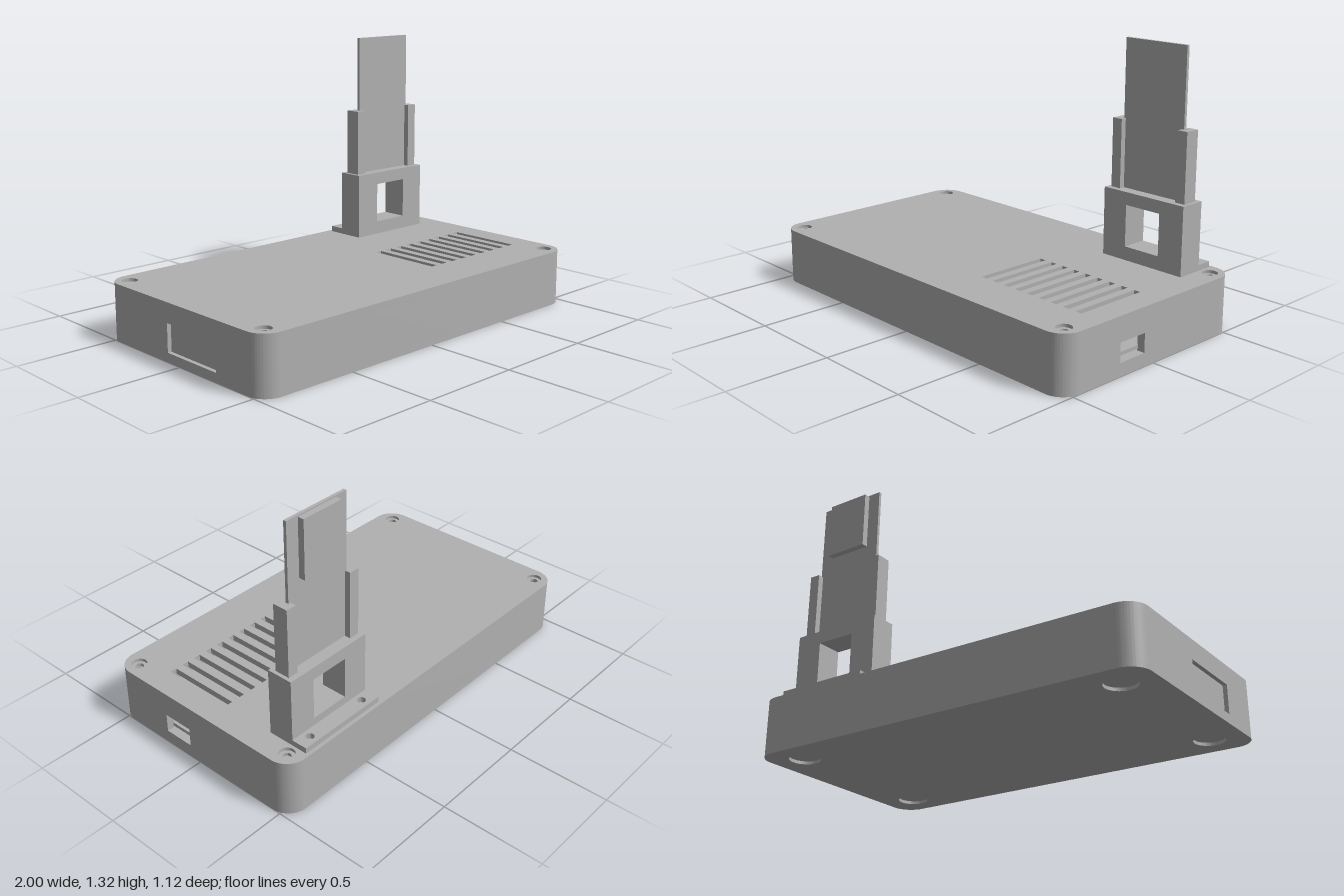
import * as THREE from 'three';
import { toCreasedNormals } from 'three/addons/utils/BufferGeometryUtils.js';

const grey = new THREE.MeshStandardMaterial({ color: 0xb0b0b0 });
grey.name = 'plain grey';

export function createModel() {
  const model = new THREE.Group();
  model.name = 'deviceCaseWithBracket';

  const add = (name, geo) => {
    const mesh = new THREE.Mesh(geo, grey);
    mesh.name = name;
    model.add(mesh);
    return mesh;
  };
  // Box given by its limits on each axis
  const box = (name, x0, x1, y0, y1, z0, z1) =>
    add(name, new THREE.BoxGeometry(x1 - x0, y1 - y0, z1 - z0)
      .translate((x0 + x1) / 2, (y0 + y1) / 2, (z0 + z1) / 2));
  const extrude = (shape, depth) => toCreasedNormals(
    new THREE.ExtrudeGeometry(shape, { depth, bevelEnabled: false, curveSegments: 20 }), 0.5);
  // Horizontal slab: shape coordinates are (x, -z)
  const slab = (name, shape, y0, y1) =>
    add(name, extrude(shape, y1 - y0).rotateX(-Math.PI / 2).translate(0, y0, 0));

  const rect = (T, x0, x1, y0, y1) => new T()
    .moveTo(x0, y0).lineTo(x1, y0).lineTo(x1, y1).lineTo(x0, y1).closePath();
  const circle = (x, y, r) => new THREE.Path().absarc(x, y, r, 0, Math.PI * 2, false);
  const corners = (x, z, r) =>
    [[1, 1], [1, -1], [-1, 1], [-1, -1]].map(([i, j]) => circle(i * x, j * z, r));

  // Case outline with rounded corners
  const R = 0.1, W = 1, D = 0.56, H = 0.275, T = 0.03;
  const outline = (holes) => {
    const s = new THREE.Shape();
    s.absarc(W - R, D - R, R, 0, Math.PI / 2, false);
    s.absarc(R - W, D - R, R, Math.PI / 2, Math.PI, false);
    s.absarc(R - W, R - D, R, Math.PI, Math.PI * 1.5, false);
    s.absarc(W - R, R - D, R, Math.PI * 1.5, Math.PI * 2, false);
    s.closePath();
    s.holes.push(...holes);
    return s;
  };
  const vents = () => Array.from({ length: 9 }, (_, i) => {
    const x = 0.273 + i * 0.0727, r = 0.017;
    return rect(THREE.Path, x - r, x + r, -0.32, 0.055);
  });

  // Floor with round recesses for the feet, lid with vents and stepped screw holes
  slab('floorLower', outline(corners(0.835, 0.405, 0.073)), 0, 0.015);
  slab('floorUpper', outline([]), 0.015, T);
  slab('lidLower', outline([...vents(), ...corners(0.925, 0.48, 0.02)]), H - T, H - 0.015);
  slab('lidUpper', outline([...vents(), ...corners(0.925, 0.48, 0.037)]), H - 0.015, H);

  // Front and back walls, each including its two rounded corners
  for (const side of [1, -1]) {
    const s = new THREE.Shape();
    s.moveTo(-W, D - R);
    s.absarc(R - W, D - R, R, Math.PI, Math.PI / 2, true);
    s.absarc(W - R, D - R, R, Math.PI / 2, 0, true);
    s.lineTo(0.96, D - R).lineTo(0.96, 0.52).lineTo(-0.96, 0.52).lineTo(-0.96, D - R);
    s.closePath();
    const wall = slab(side > 0 ? 'backWall' : 'frontWall', s, T, H - T);
    if (side < 0) wall.rotation.y = Math.PI;
  }

  // End walls with rectangular openings: shape coordinates are (-z, y)
  const endWall = (name, x0, z0, z1, y0, y1) => {
    const s = rect(THREE.Shape, R - D, D - R, T, H - T);
    s.holes.push(rect(THREE.Path, -z1, -z0, y0, y1));
    add(name, extrude(s, 0.04).rotateY(Math.PI / 2).translate(x0, 0, 0));
  };
  endWall('portWall', 0.96, 0.06, 0.215, 0.063, 0.155);
  endWall('screenWall', -1, -0.085, 0.256, 0.045, 0.18);
  box('screenRecess', -0.98, -0.955, 0.04, 0.19, -0.1, 0.27);
  box('circuitBoard', 0.2, 0.965, 0.073, 0.09, -0.1, 0.36);

  // Bracket block with a square window
  const block = rect(THREE.Shape, 0.405, 0.873, H, 0.607);
  block.holes.push(rect(THREE.Path, 0.54, 0.738, 0.342, 0.545));
  add('bracketBlock', extrude(block, 0.131).translate(0, 0, -0.463));

  // Screw flange behind the block
  const flange = rect(THREE.Shape, 0.405, 0.873, 0.463, 0.542);
  flange.holes.push(circle(0.472, 0.5, 0.02), circle(0.805, 0.5, 0.02));
  slab('bracketFlange', flange, H, 0.303);

  // Grooved side rails holding the upright plate
  const mid = 0.639;
  for (const side of [1, -1]) {
    const rail = (name, a, b, z0, z1) => {
      const xs = [mid + side * a, mid + side * b].sort((p, q) => p - q);
      box(name, xs[0], xs[1], 0.6, 0.94, z0, z1);
    };
    rail('railOuter', 0.177, 0.217, -0.436, -0.36);
    rail('railFrontLip', 0.164, 0.177, -0.388, -0.36);
    rail('railBackLip', 0.164, 0.177, -0.436, -0.406);
  }
  box('uprightPlate', mid - 0.175, mid + 0.175, 0.57, 1.317, -0.405, -0.39);
  box('backModule', 0.528, 0.748, 1.03, 1.31, -0.436, -0.404);

  return model;
}
